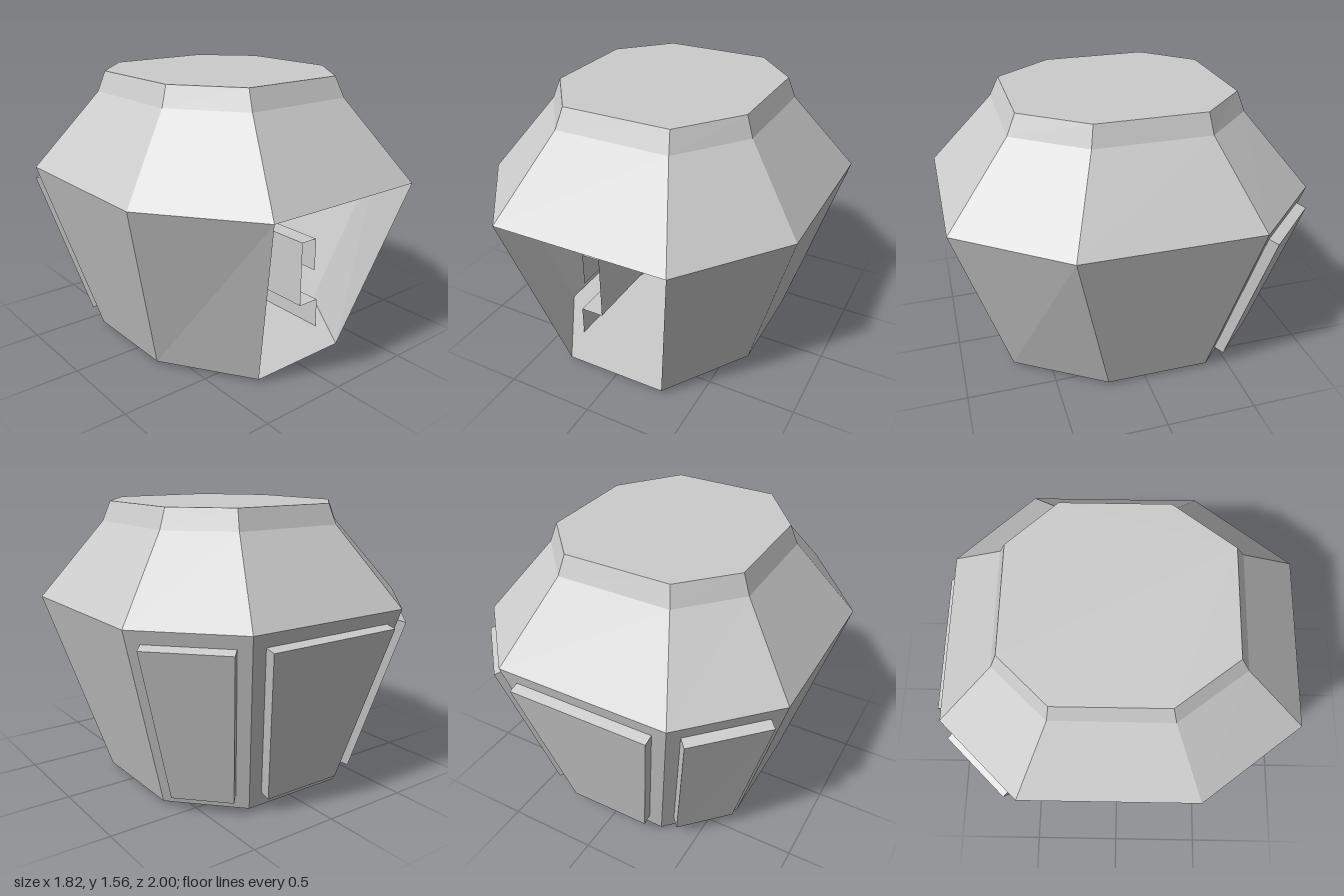
import * as THREE from 'three';
import { mergeGeometries } from 'three/addons/utils/BufferGeometryUtils.js';

const flat = new THREE.MeshStandardMaterial({ color: 0xcccccc, flatShading: true, side: THREE.DoubleSide });
const smooth = new THREE.MeshStandardMaterial({ color: 0xcccccc, side: THREE.DoubleSide });
const V = (x, y, z) => new THREE.Vector3(x, y, z);

// Polygons (counter-clockwise seen from outside) become triangle fans
function polyMesh(name, polys) {
  const pts = [];
  for (const p of polys) for (let i = 1; i < p.length - 1; i++) pts.push(p[0], p[i], p[i + 1]);
  const geo = new THREE.BufferGeometry().setFromPoints(pts);
  geo.computeVertexNormals();
  const mesh = new THREE.Mesh(geo, flat);
  mesh.name = name;
  return mesh;
}

// Eight-sided ring, starting at front +x and going round past the +x side
function ring(y, front, back, cornerX, sideX, sideFront, sideBack) {
  const half = [[cornerX, front], [sideX, sideFront], [sideX, sideBack], [cornerX, back]];
  const other = half.map(([x, z]) => [-x, z]).reverse();
  return [...half, ...other].map(([x, z]) => V(x, y, z));
}

// Point on a wall: u along its width, t up its height
function onWall([a, b, c, d], u, t) {
  return a.clone().lerp(b, u).lerp(d.clone().lerp(c, u), t);
}

// Frame between two loops of corners
const band = (lo, hi) => lo.map((p, i) => {
  const j = (i + 1) % lo.length;
  return [p, lo[j], hi[j], hi[i]];
});

// Strip between two (radius, height) points, swept round a U that is open at the front
const FRONT = 0.49, CENTRE = -0.1;
function uStrip([r0, y0], [r1, y1], arcOnly = false) {
  const N = 24, pos = [], index = [];
  const add = (x, z) => pos.push(x * r0, y0, CENTRE + z * r0, x * r1, y1, CENTRE + z * r1);
  const straight = x => pos.push(x * r0, y0, FRONT, x * r1, y1, FRONT);
  if (!arcOnly) straight(1);
  for (let i = 0; i <= N; i++) add(Math.cos(Math.PI * i / N), -Math.sin(Math.PI * i / N));
  if (!arcOnly) straight(-1);
  for (let i = 0; i < pos.length / 6 - 1; i++) {
    const k = 2 * i;
    index.push(k, k + 2, k + 1, k + 1, k + 2, k + 3);
  }
  const geo = new THREE.BufferGeometry();
  geo.setAttribute('position', new THREE.Float32BufferAttribute(pos, 3));
  geo.setIndex(index);
  geo.computeVertexNormals();
  return geo;
}

function uMesh(name, profile, arcOnly) {
  const strips = profile.slice(1).map((p, i) => uStrip(profile[i], p, arcOnly));
  const mesh = new THREE.Mesh(mergeGeometries(strips), smooth);
  mesh.name = name;
  return mesh;
}

export function createModel() {
  const model = new THREE.Group();
  model.name = 'pod';

  const rings = [
    ring(0.02, 0.71, -0.70, 0.30, 0.62, 0.22, -0.37),
    ring(1.03, 1.00, -0.96, 0.49, 0.91, 0.45, -0.52),
    ring(1.45, 0.65, -0.625, 0.32, 0.59, 0.29, -0.335),
    ring(1.56, 0.60, -0.585, 0.30, 0.55, 0.27, -0.32),
  ];

  // Lower walls: the last one (front) stays open, the three rear ones have bays
  const walls = [];
  const names = { 2: 'leftRearBay', 3: 'rearBay', 4: 'rightRearBay' };
  band(rings[0], rings[1]).forEach((wall, i) => {
    if (i === 7) return;
    if (!names[i]) { walls.push(wall); return; }
    const top = i === 3 ? 0.08 : 0.12, bottom = i === 3 ? 0.125 : 0.15;
    const hole = [[bottom, 0.08], [1 - bottom, 0.08], [1 - top, 0.93], [top, 0.93]]
      .map(([u, t]) => onWall(wall, u, t));
    walls.push(...band(wall, hole));
    const normal = wall[1].clone().sub(wall[0]).cross(wall[3].clone().sub(wall[0])).normalize();
    const cap = hole.map(p => p.clone().addScaledVector(normal, 0.058));
    model.add(polyMesh(names[i], [...band(hole, cap), cap]));
  });
  model.add(polyMesh('lowerWalls', walls));

  // Roof and floor
  model.add(polyMesh('roofSlope', band(rings[1], rings[2])));
  model.add(polyMesh('roofCollar', band(rings[2], rings[3])));
  model.add(polyMesh('roofTop', [rings[3]]));
  model.add(polyMesh('floor', [[...rings[0]].reverse()]));

  // U-shaped console base with a ledge, and the low desk round its back
  model.add(uMesh('consoleBase', [[0.36, 0], [0.36, 0.2], [0.22, 0.2]]));
  model.add(uMesh('consoleDesk', [[0.22, 0.2], [0.22, 0.27], [0.26, 0.39], [0.33, 0.39]], true));

  // Hooked side arms of the console
  for (const s of [1, -1]) {
    const profile = [[0.22, 0.2], [0.22, 0.6], [0.33, 0.6], [0.33, 0.4]];
    const at = ([x, y], z) => V(s * x, y, z);
    const faces = profile.slice(1).map((p, i) =>
      [at(profile[i], FRONT), at(p, FRONT), at(p, CENTRE), at(profile[i], CENTRE)]);
    faces.push([[0.22, 0.4], [0.33, 0.4], [0.33, 0.6], [0.22, 0.6]].map(p => at(p, CENTRE)));
    if (s < 0) faces.forEach(f => f.reverse());
    model.add(polyMesh(s > 0 ? 'leftConsoleArm' : 'rightConsoleArm', faces));
  }
  return model;
}
